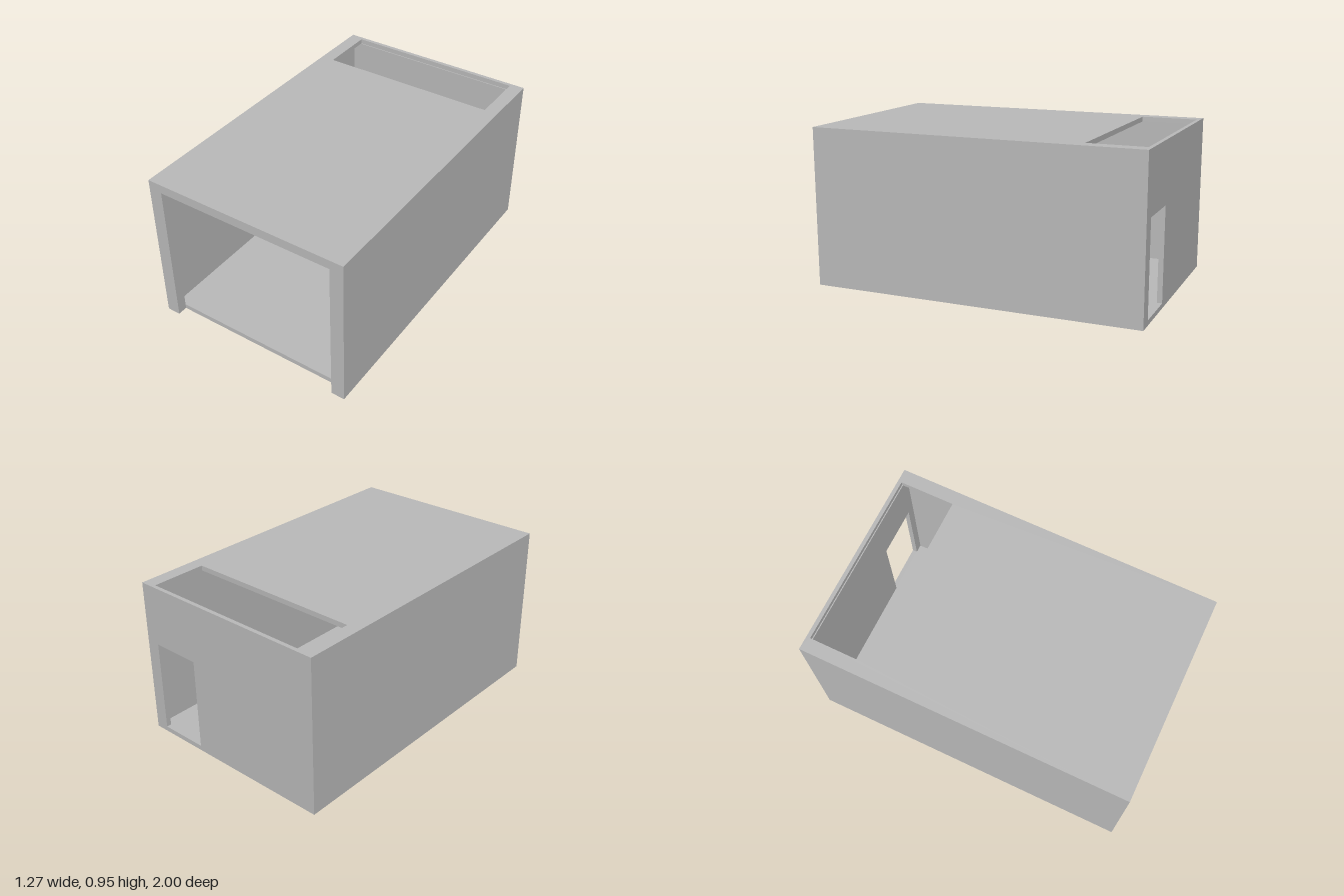
import * as THREE from 'three';

// Overall size and panel thicknesses
const W = 0.633, H = 0.955, T = 0.03;
const FRAME_BACK = 0.94, BACK_IN = -0.97, CEILING = H - T;

// Closed outline from a list of x, y pairs
const outline = (pts, Kind = THREE.Shape) => new Kind(pts.map(([x, y]) => new THREE.Vector2(x, y)));
const rect = (x0, y0, x1, y1) => [[x0, y0], [x1, y0], [x1, y1], [x0, y1]];

export function createModel() {
  const group = new THREE.Group();
  const concrete = new THREE.MeshStandardMaterial({ color: 0xb8b8b8 });
  concrete.name = 'concrete grey';

  const add = (name, geometry) => {
    const mesh = new THREE.Mesh(geometry, concrete);
    mesh.name = name;
    group.add(mesh);
  };
  // Box given by its two opposite corners
  const box = (name, x0, x1, y0, y1, z0, z1) => add(name,
    new THREE.BoxGeometry(x1 - x0, y1 - y0, z1 - z0)
      .translate((x0 + x1) / 2, (y0 + y1) / 2, (z0 + z1) / 2));
  // Flat panel cut from a shape, standing from z0 to z1
  const panel = (shape, z0, z1) =>
    new THREE.ExtrudeGeometry(shape, { depth: z1 - z0, bevelEnabled: false }).translate(0, 0, z0);

  // Floor slab and thin side walls
  box('floor', -W + T, W - T, 0, T, BACK_IN, FRAME_BACK);
  box('rightWall', -W, -W + T, 0, CEILING, BACK_IN, FRAME_BACK);
  box('leftWall', W - T, W, 0, CEILING, BACK_IN, FRAME_BACK);

  // Front frame: two posts and a lintel around the wide opening
  const frame = outline([
    [-W, 0], [-0.55, 0], [-0.55, 0.9], [0.55, 0.9], [0.55, 0], [W, 0], [W, CEILING], [-W, CEILING],
  ]);
  add('frontFrame', panel(frame, FRAME_BACK, 1));

  // Back wall with a doorway
  const back = outline(rect(-W, 0, W, CEILING));
  back.holes.push(outline(rect(0.25, T, 0.55, 0.59), THREE.Path));
  add('backWall', panel(back, -1, BACK_IN));

  // Roof with a long skylight near the back (shape y becomes -z)
  const roof = outline(rect(-W, -1, W, 1));
  roof.holes.push(outline(rect(-0.55, 0.637, 0.55, 0.976), THREE.Path));
  add('roof', panel(roof, 0, T).rotateX(-Math.PI / 2).translate(0, CEILING, 0));

  return group;
}
